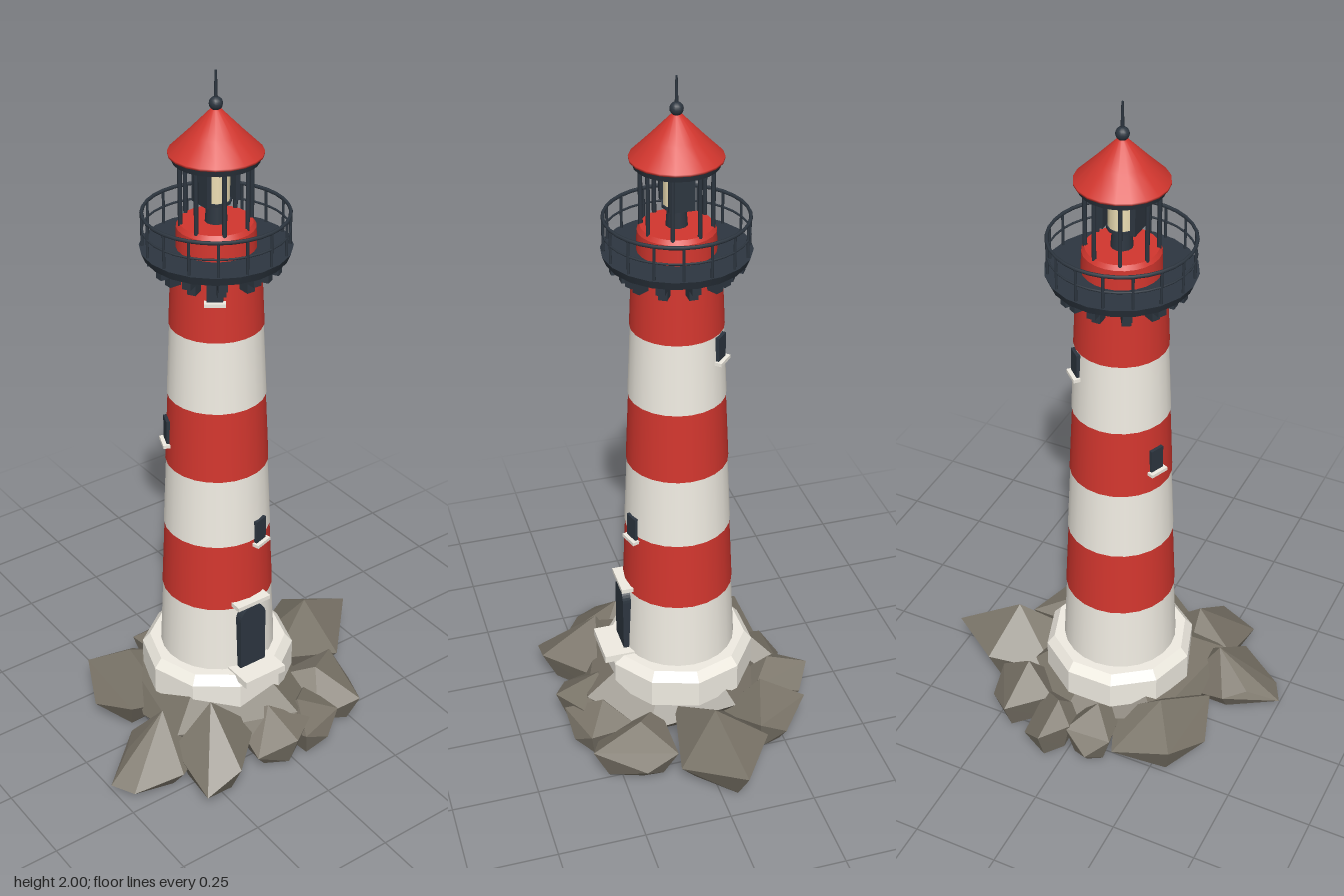
import * as THREE from 'three';
import { ConvexGeometry } from 'three/addons/geometries/ConvexGeometry.js';

const mat = (color, extra = {}) => new THREE.MeshStandardMaterial({ color, ...extra });
const red = mat(0xd2362e), white = mat(0xf0ece2), dark = mat(0x2d3640), lensMat = mat(0xeedfb4);
const plinthMat = mat(0xf0ece2, { flatShading: true });
const rockMat = mat(0x7a7468, { flatShading: true });

function add(parent, name, geometry, material, x = 0, y = 0, z = 0) {
  const mesh = new THREE.Mesh(geometry, material);
  mesh.name = name;
  mesh.position.set(x, y, z);
  parent.add(mesh);
  return mesh;
}

const box = (w, h, d) => new THREE.BoxGeometry(w, h, d);
const cyl = (rTop, rBottom, h, n = 24) => new THREE.CylinderGeometry(rTop, rBottom, h, n);

// Drum standing between two heights
const drum = (parent, name, rTop, rBottom, y0, y1, material, n) =>
  add(parent, name, cyl(rTop, rBottom, y1 - y0, n), material, 0, (y0 + y1) / 2, 0);

// Calls make(group) on n pivots spaced around the tower axis
function around(parent, name, n, offset, make) {
  for (let i = 0; i < n; i++) {
    const pivot = new THREE.Group();
    pivot.name = name;
    pivot.rotation.y = offset + (i * Math.PI * 2) / n;
    parent.add(pivot);
    make(pivot);
  }
}

function ring(parent, name, radius, tube, y) {
  add(parent, name, new THREE.TorusGeometry(radius, tube, 6, 32), dark, 0, y, 0).rotation.x = Math.PI / 2;
}

// Faceted boulder: a peak, an uneven rim following the plan outline, and a narrower foot
function rock(parent, name, peak, rimY, outline) {
  const points = [new THREE.Vector3(...peak)];
  const cx = outline.reduce((sum, p) => sum + p[0], 0) / outline.length;
  const cz = outline.reduce((sum, p) => sum + p[1], 0) / outline.length;
  outline.forEach(([x, z], i) => {
    points.push(new THREE.Vector3(x, rimY + 0.025 * (i % 2 ? -1 : 1), z));
    points.push(new THREE.Vector3(cx + (x - cx) * 0.65, 0.022 + 0.008 * Math.sin(i * 2.4), cz + (z - cz) * 0.65));
  });
  add(parent, name, new ConvexGeometry(points), rockMat);
}

const BASE = 0.26, TOP = 1.52;
const towerRadius = y => THREE.MathUtils.lerp(0.165, 0.118, (y - BASE) / (TOP - BASE));

function buildTower(tower) {
  // Bevelled ten-sided plinth
  const n = 10;
  [[0.222, 0.222, 0.15, 0.235], [0.2, 0.222, 0.235, 0.262]].forEach(([rt, rb, y0, y1]) => {
    drum(tower, 'plinth', rt, rb, y0, y1, plinthMat, n).rotation.y = Math.PI / n;
  });

  // Striped shaft
  const bands = 6, step = (TOP - BASE) / bands;
  for (let i = 0; i < bands; i++) {
    const y = BASE + i * step;
    drum(tower, 'band', towerRadius(y + step), towerRadius(y) + 0.002, y, y + step, i % 2 ? red : white);
  }

  // Arched door, lintel and doorstep
  const arch = new THREE.Shape();
  arch.moveTo(-0.043, 0);
  arch.lineTo(0.043, 0);
  arch.lineTo(0.043, 0.167);
  arch.absarc(0, 0.167, 0.043, 0, Math.PI, false);
  arch.closePath();
  const doorGeo = new THREE.ExtrudeGeometry(arch, { depth: 0.04, bevelEnabled: false, curveSegments: 8 });
  add(tower, 'door', doorGeo, dark, 0, 0.265, 0.137);
  add(tower, 'lintel', box(0.11, 0.013, 0.04), white, 0, 0.485, 0.162);
  add(tower, 'doorstep', box(0.138, 0.022, 0.09), white, 0, 0.257, 0.195);

  // Windows spiralling up the shaft: angle in degrees, sill height
  [[17, 0.662], [248, 0.953], [137, 1.23], [323, 1.425]].forEach(([deg, y]) => {
    const win = new THREE.Group();
    win.name = 'window';
    win.rotation.y = THREE.MathUtils.degToRad(deg);
    const r = towerRadius(y);
    add(win, 'pane', box(0.042, 0.07, 0.03), dark, 0, y + 0.04, r - 0.009);
    add(win, 'sill', box(0.056, 0.01, 0.034), white, 0, y, r);
    tower.add(win);
  });
}

function buildGallery(tower) {
  drum(tower, 'deck', 0.2, 0.19, 1.508, 1.532, dark, 20);
  around(tower, 'bracket', 12, 0, g => {
    add(g, 'bracketArm', box(0.024, 0.025, 0.07), dark, 0, 1.496, 0.145);
    add(g, 'bracketFoot', box(0.024, 0.04, 0.04), dark, 0, 1.476, 0.133);
  });
  around(tower, 'railPost', 16, Math.PI / 16, g => add(g, 'post', cyl(0.004, 0.004, 0.1, 6), dark, 0, 1.578, 0.191));
  ring(tower, 'topRail', 0.191, 0.005, 1.625);
  ring(tower, 'midRail', 0.191, 0.003, 1.58);
}

function buildLantern(tower) {
  drum(tower, 'lanternWall', 0.104, 0.106, 1.53, 1.588, red);
  drum(tower, 'lanternWallCap', 0.096, 0.104, 1.588, 1.6, red);
  around(tower, 'lanternPost', 8, Math.PI / 8, g => add(g, 'post', cyl(0.006, 0.006, 0.19, 6), dark, 0, 1.69, 0.094));

  // Lamp with a screen on each side
  drum(tower, 'lampPedestal', 0.025, 0.03, 1.595, 1.66, dark, 12);
  drum(tower, 'lens', 0.036, 0.036, 1.658, 1.742, lensMat, 12);
  [1.656, 1.744].forEach(y => add(tower, 'lensCap', cyl(0.04, 0.04, 0.008, 12), dark, 0, y, 0));
  [-1, 1].forEach(s => add(tower, 'lampScreen', box(0.014, 0.088, 0.068), dark, s * 0.045, 1.7, 0));

  // Roof, finial ball and mast
  drum(tower, 'eave', 0.118, 0.112, 1.766, 1.784, dark);
  const roof = [[0, 1.784], [0.123, 1.784], [0.123, 1.79], [0.07, 1.842], [0.014, 1.9], [0, 1.903]];
  add(tower, 'roof', new THREE.LatheGeometry(roof.map(([x, y]) => new THREE.Vector2(x, y)), 20), red);
  add(tower, 'finial', new THREE.SphereGeometry(0.018, 14, 10), dark, 0, 1.915, 0);
  drum(tower, 'mast', 0.003, 0.005, 1.925, 2, dark, 6);
}

function buildRocks(rocks) {
  // Mound carrying the tower
  rock(rocks, 'mound', [-0.033, 0.33, 0], 0.12,
    [[-0.23, -0.19], [-0.3, 0.0], [-0.3, 0.18], [-0.1, 0.28], [0.04, 0.3], [0.18, 0.15], [0.2, -0.11], [0.04, -0.25]]);
  // Boulders, clockwise from the left side as seen from above
  rock(rocks, 'leftRock', [0.305, 0.24, -0.013], 0.11,
    [[0.497, -0.053], [0.35, 0.1], [0.14, 0.06], [0.15, -0.09], [0.336, -0.164]]);
  rock(rocks, 'frontLeftRock', [0.2, 0.155, 0.18], 0.09,
    [[0.318, 0.1], [0.32, 0.193], [0.248, 0.333], [0.13, 0.285], [0.1, 0.1]]);
  rock(rocks, 'smallFrontRock', [0.07, 0.15, 0.26], 0.08,
    [[0.175, 0.32], [0.11, 0.357], [0.023, 0.365], [0.0, 0.2], [0.16, 0.18]]);
  rock(rocks, 'frontRock', [-0.03, 0.17, 0.25], 0.1,
    [[-0.02, 0.381], [-0.125, 0.333], [-0.11, 0.18], [0.05, 0.18], [0.07, 0.32]]);
  rock(rocks, 'frontRightRock', [-0.205, 0.242, 0.21], 0.09,
    [[-0.218, 0.378], [-0.328, 0.37], [-0.32, 0.19], [-0.2, 0.1], [-0.07, 0.24]]);
  rock(rocks, 'rightRock', [-0.31, 0.2, 0.12], 0.06,
    [[-0.34, 0.27], [-0.468, 0.21], [-0.415, 0.09], [-0.503, 0.142], [-0.36, 0.03], [-0.2, 0.06], [-0.22, 0.2]]);
  rock(rocks, 'backRightRock', [-0.24, 0.205, -0.16], 0.1,
    [[-0.334, -0.008], [-0.377, -0.142], [-0.318, -0.276], [-0.146, -0.298], [-0.1, -0.18], [-0.2, -0.02]]);
  rock(rocks, 'smallBackRock', [-0.07, 0.18, -0.23], 0.09,
    [[-0.14, -0.3], [-0.08, -0.343], [0.0, -0.308], [0.03, -0.2], [-0.12, -0.16]]);
  rock(rocks, 'backRock', [0.045, 0.17, -0.26], 0.1,
    [[0.05, -0.386], [0.12, -0.34], [0.117, -0.2], [0.0, -0.16], [-0.012, -0.303]]);
  rock(rocks, 'backLeftRock', [0.18, 0.21, -0.19], 0.1,
    [[0.194, -0.327], [0.277, -0.244], [0.285, -0.16], [0.14, -0.08], [0.09, -0.22]]);
}

export function createModel() {
  const model = new THREE.Group();
  model.name = 'lighthouse';

  const tower = new THREE.Group();
  tower.name = 'tower';
  tower.position.x = -0.032;
  model.add(tower);
  buildTower(tower);
  buildGallery(tower);
  buildLantern(tower);

  const rocks = new THREE.Group();
  rocks.name = 'rocks';
  rocks.position.y = -0.012;
  model.add(rocks);
  buildRocks(rocks);
  return model;
}
